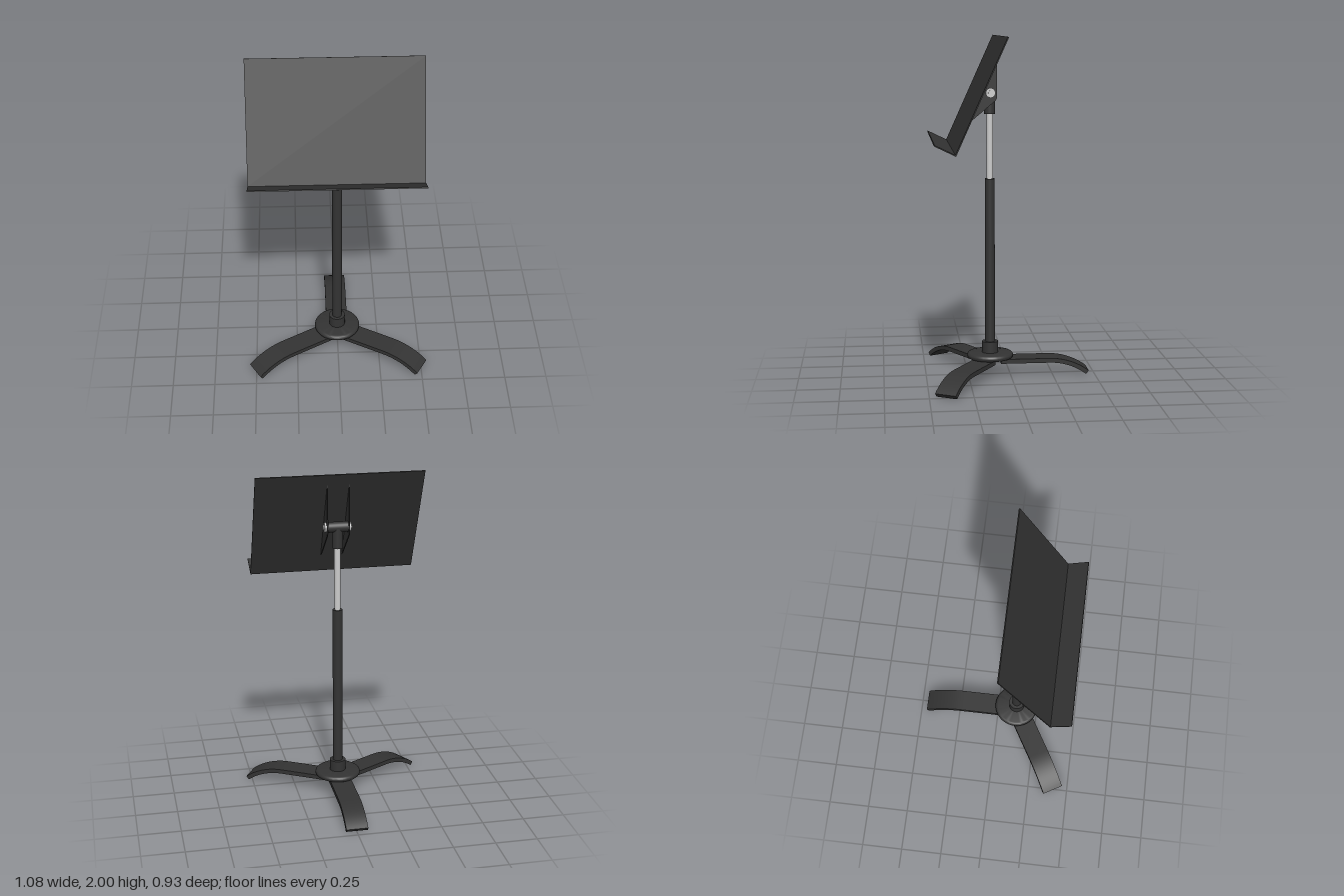
import * as THREE from 'three';
import { toCreasedNormals } from 'three/addons/utils/BufferGeometryUtils.js';

const dark = new THREE.MeshStandardMaterial({ color: 0x333333 });
const steel = new THREE.MeshStandardMaterial({ color: 0xcccccc });
const AXIS_Z = 0.119; // depth of the upright
const AXIS_X = -0.002;

export function createModel() {
  const model = new THREE.Group();

  const add = (name, geometry, material, x = 0, y = 0, z = 0) => {
    const mesh = new THREE.Mesh(geometry, material);
    mesh.name = name;
    mesh.position.set(x, y, z);
    model.add(mesh);
    return mesh;
  };

  // Side profile given as (z, y), extruded across x and centred
  const sideExtrude = (points, width) => {
    const shape = new THREE.Shape(points.map(([z, y]) => new THREE.Vector2(z, y)));
    const g = new THREE.ExtrudeGeometry(shape, { depth: width, bevelEnabled: false });
    g.translate(0, 0, -width / 2).rotateY(-Math.PI / 2);
    return toCreasedNormals(g, 0.5);
  };

  // Vertical cylinder on the upright's axis
  const post = (name, r, y0, y1, material) =>
    add(name, new THREE.CylinderGeometry(r, r, y1 - y0, 32), material, AXIS_X, (y0 + y1) / 2, AXIS_Z);

  // Three legs: flat near the hub, then arcing down to the floor
  const R = 0.385, t = 0.026, bend = 0.655, steps = 14;
  const arc = (r) => Array.from({ length: steps + 1 }, (_, i) => {
    const a = (bend * i) / steps;
    return [0.35 + r * Math.sin(a), 0.1 - R + r * Math.cos(a)];
  });
  const legProfile = [[0.06, 0.1 - t], ...arc(R - t), ...arc(R).reverse(), [0.06, 0.1]];
  const legGeometry = sideExtrude(legProfile, 0.13);
  [['leftLeg', 1], ['backLeg', 3], ['rightLeg', 5]].forEach(([name, k]) => {
    add(name, legGeometry, dark, AXIS_X, 0, AXIS_Z).rotation.y = (k * Math.PI) / 3;
  });

  // Round-edged hub plate
  const rim = Array.from({ length: 9 }, (_, i) => {
    const a = -Math.PI / 2 + (Math.PI * i) / 8;
    return new THREE.Vector2(0.12 + 0.017 * Math.cos(a), 0.117 + 0.017 * Math.sin(a));
  });
  const hubProfile = [new THREE.Vector2(0, 0.1), ...rim, new THREE.Vector2(0, 0.134)];
  add('hubPlate', toCreasedNormals(new THREE.LatheGeometry(hubProfile, 48), 0.6), dark, AXIS_X, 0, AXIS_Z);

  // Telescoping upright
  post('hubCollar', 0.048, 0.13, 0.2, dark);
  post('outerTube', 0.029, 0.13, 1.172, dark);
  post('innerTube', 0.019, 1.16, 1.6, steel);
  post('neck', 0.031, 1.55, 1.67, dark);

  // Tilt pivot with a bolt at each end
  const acrossX = (r, w) => new THREE.CylinderGeometry(r, r, w, 28).rotateZ(Math.PI / 2);
  add('pivotTube', acrossX(0.031, 0.126), dark, AXIS_X, 1.675, AXIS_Z);
  for (const s of [-1, 1]) {
    const side = s > 0 ? 'left' : 'right';
    add(side + 'BoltHead', acrossX(0.028, 0.012), steel, AXIS_X + s * 0.072, 1.675, AXIS_Z);
    add(side + 'BoltTip', acrossX(0.014, 0.008), steel, AXIS_X + s * 0.081, 1.675, AXIS_Z);
    // Triangular bracket fin behind the desk
    const fin = [[0.081, 1.94], [0.081, 1.645], [0.09, 1.63], [0.296, 1.457]];
    add(side + 'BracketFin', sideExtrude(fin, 0.006), dark, AXIS_X + s * 0.064);
  }

  // Tilted desk and its lip, one folded sheet
  const sheet = [[0.052, 1.997], [0.343, 1.35], [0.463, 1.408], [0.46, 1.414], [0.3465, 1.359], [0.058, 2]];
  add('desk', sideExtrude(sheet, 0.984), dark, -0.011);

  return model;
}
